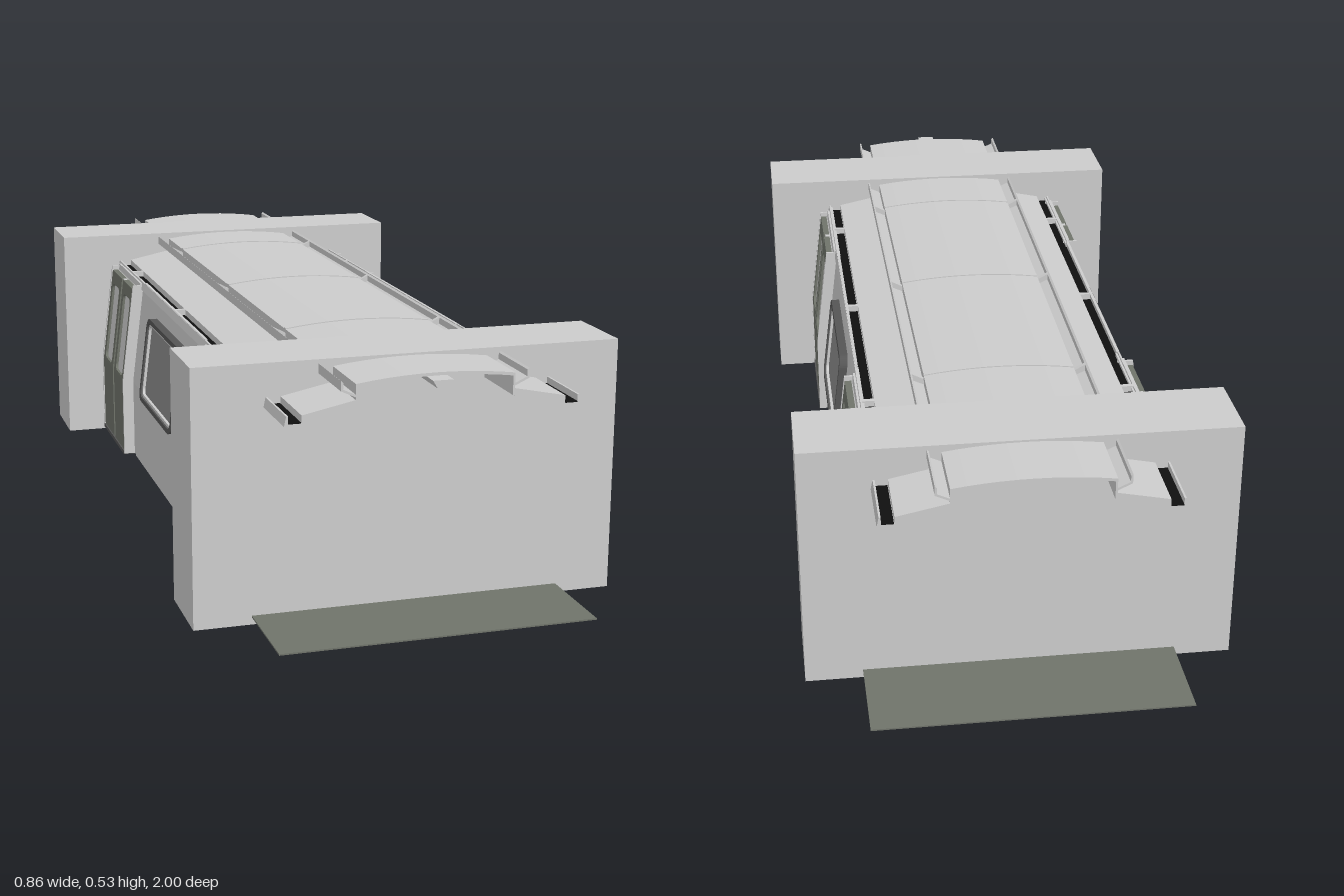
import * as THREE from 'three';

const mat = (color) => new THREE.MeshStandardMaterial({ color, side: THREE.DoubleSide });
const grey = mat(0xcccccc), dark = mat(0x6f736a), black = mat(0x101010);
const glass = mat(0x8a8a8a), rubber = mat(0x555555), yellow = mat(0xc9a41c);

const add = (parent, name, geo, m = grey) => {
  const mesh = new THREE.Mesh(geo, m);
  mesh.name = name;
  parent.add(mesh);
  return mesh;
};
const box = (parent, name, [x0, x1], [y0, y1], [z0, z1], m) => {
  const mesh = add(parent, name, new THREE.BoxGeometry(x1 - x0, y1 - y0, z1 - z0), m);
  mesh.position.set((x0 + x1) / 2, (y0 + y1) / 2, (z0 + z1) / 2);
  return mesh;
};

// Rounded rectangle, usable as outline or hole
function rounded(u0, u1, v0, v1, r = 0) {
  const s = new THREE.Shape();
  if (!r) {
    s.moveTo(u0, v0).lineTo(u1, v0).lineTo(u1, v1).lineTo(u0, v1).closePath();
    return s;
  }
  s.absarc(u1 - r, v0 + r, r, -Math.PI / 2, 0);
  s.absarc(u1 - r, v1 - r, r, 0, Math.PI / 2);
  s.absarc(u0 + r, v1 - r, r, Math.PI / 2, Math.PI);
  s.absarc(u0 + r, v0 + r, r, Math.PI, Math.PI * 1.5);
  s.closePath();
  return s;
}

// Side surface: upright below BREAK, leaning inwards above it
const BREAK = 0.215, TOP = 0.465;
const sideX = (y) => 0.317 - 0.032 * Math.max(0, (y - BREAK) / (TOP - BREAK));

// Flat shape in (-z, y), thickened and laid against the leaning side
function sidePart(parent, name, shape, offset, depth, m, hole) {
  if (hole) shape.holes.push(hole);
  const g = new THREE.ExtrudeGeometry(shape, { depth, bevelEnabled: false, curveSegments: 5 });
  g.rotateY(Math.PI / 2);
  const p = g.attributes.position;
  for (let i = 0; i < p.count; i++) p.setX(i, p.getX(i) + sideX(p.getY(i)) + offset);
  g.computeVertexNormals();
  return add(parent, name, g, m);
}

// Cross-section in (x, y) run along z
function runAlong(parent, name, pts, z0, z1, m) {
  const shape = new THREE.Shape(pts.map(([x, y]) => new THREE.Vector2(x, y)));
  const g = new THREE.ExtrudeGeometry(shape, { depth: z1 - z0, bevelEnabled: false });
  g.translate(0, 0, z0);
  return add(parent, name, g, m);
}

function doorPair(parent, zc) {
  const door = new THREE.Group();
  door.name = 'doubleDoor';
  for (const s of [-1, 1]) {
    const c = s * 0.07 - zc, u0 = c - 0.0625, u1 = c + 0.0625;
    const w = [c - 0.042, c + 0.042, 0.222, 0.415];
    sidePart(door, 'doorLeafLower', rounded(u0, u1, 0.035, BREAK), 0.008, 0.014, dark);
    sidePart(door, 'doorLeafUpper', rounded(u0, u1, BREAK, 0.445), 0.008, 0.014, dark, rounded(...w, 0.015));
    sidePart(door, 'doorWindow', rounded(...w, 0.015), 0.012, 0.004, grey);
    // jamb beside each leaf
    const j0 = s > 0 ? u1 : u0 - 0.006;
    for (const [a, b] of [[0.03, BREAK], [BREAK, 0.455]])
      sidePart(door, 'doorJamb', rounded(j0, j0 + 0.006, a, b), -0.01, 0.034, grey);
  }
  for (const [a, b] of [[0.035, BREAK], [BREAK, 0.445]])
    sidePart(door, 'doorCentreStrip', rounded(-zc - 0.0075, -zc + 0.0075, a, b), 0.006, 0.012, grey);
  box(door, 'doorSill', [0.305, 0.342], [0.027, 0.036], [zc - 0.133, zc + 0.133], rubber);
  parent.add(door);
}

function buildSide(panelBottom) {
  const side = new THREE.Group();
  side.name = 'sideWall';
  // central panel with the large window
  const win = [-0.172, 0.172, 0.215, 0.412];
  sidePart(side, 'panelLower', rounded(-0.315, 0.315, panelBottom, BREAK), -0.006, 0.006, grey);
  sidePart(side, 'panelUpper', rounded(-0.315, 0.315, BREAK, TOP), -0.006, 0.006, grey,
    rounded(-0.155, 0.155, 0.23, 0.4, 0.02));
  sidePart(side, 'windowFrame', rounded(...win, 0.025), -0.006, 0.024, rubber,
    rounded(-0.16, 0.16, 0.225, 0.402, 0.018));
  sidePart(side, 'windowInnerFrame', rounded(-0.161, 0.161, 0.224, 0.403, 0.018), -0.004, 0.018, grey,
    rounded(-0.154, 0.154, 0.231, 0.396, 0.014));
  sidePart(side, 'windowGlass', rounded(-0.157, 0.157, 0.228, 0.399, 0.016), 0.002, 0.006, glass);
  // narrow wall strips around the doorways, mirrored front to back
  for (const s of [-1, 1]) {
    for (const [n, f] of [[0.312, 0.344], [0.608, 0.66]]) {
      const [u0, u1] = s > 0 ? [n, f] : [-f, -n];
      sidePart(side, 'wallStripLower', rounded(u0, u1, 0.03, BREAK), -0.008, 0.006, grey);
      sidePart(side, 'wallStripUpper', rounded(u0, u1, BREAK, 0.46), -0.008, 0.006, grey);
    }
    const [h0, h1] = s > 0 ? [0.34, 0.612] : [-0.612, -0.34];
    sidePart(side, 'doorHeader', rounded(h0, h1, 0.445, 0.46), -0.008, 0.014, grey);
    doorPair(side, s * 0.477);
  }
  return side;
}

function buildRoof() {
  const roof = new THREE.Group();
  roof.name = 'roof';
  const L = 0.945;
  // shallow arched centre panel
  const N = 10, arch = (x) => 0.526 - 0.011 * (x / 0.155) ** 2;
  const archBand = (lift, drop) => {
    const top = [], low = [];
    for (let i = 0; i <= N; i++) {
      const x = -0.155 + (0.31 * i) / N;
      top.unshift([x, arch(x) + lift]);
      low.push([x, arch(x) - drop]);
    }
    return [...low, ...top];
  };
  runAlong(roof, 'ceilingArch', archBand(0, 0.006), -L, L);
  for (const z of [-0.475, 0, 0.475]) runAlong(roof, 'ceilingRib', archBand(0.002, 0.007), z - 0.006, z + 0.006);
  runAlong(roof, 'centreKeel', [[-0.02, 0.52], [-0.011, 0.505], [0.011, 0.505], [0.02, 0.52]], -0.93, 0.98);

  for (const s of [-1, 1]) {
    const m = (pts) => pts.map(([x, y]) => [s * x, y]);
    runAlong(roof, 'archSide', m([[0.151, 0.515], [0.155, 0.515], [0.155, 0.472], [0.151, 0.472]]), -L, L);
    runAlong(roof, 'upperLedge', m([[0.155, 0.49], [0.183, 0.503], [0.183, 0.522], [0.179, 0.519],
      [0.179, 0.506], [0.155, 0.495]]), -L, L);
    runAlong(roof, 'lowerSlope', m([[0.155, 0.485], [0.257, 0.464], [0.257, 0.445], [0.155, 0.471]]), -L, L);
    runAlong(roof, 'lightChannel', m([[0.257, 0.445], [0.29, 0.445], [0.286, 0.464], [0.282, 0.464],
      [0.282, 0.449], [0.257, 0.449]]), -L, L);
    runAlong(roof, 'lightStrip', m([[0.258, 0.449], [0.282, 0.449], [0.282, 0.451], [0.258, 0.451]]), -L, L, black);
    // brackets tying the ledges and channels together
    for (const z of [-0.475, 0, 0.475]) {
      runAlong(roof, 'ledgeBracket', m([[0.155, 0.491], [0.182, 0.503], [0.182, 0.521], [0.155, 0.507]]), z - 0.005, z + 0.005);
      runAlong(roof, 'channelBracket', m([[0.257, 0.447], [0.285, 0.447], [0.285, 0.464], [0.257, 0.464]]), z - 0.005, z + 0.005);
    }
  }
  return roof;
}

export function createModel() {
  const model = new THREE.Group();
  model.name = 'railCarSection';

  box(model, 'floor', [-0.315, 0.315], [0.03, 0.033], [-1, 1], dark);

  // large blocks wrapped around both ends
  for (const s of [-1, 1]) box(model, 'endBlock', [-0.43, 0.43], [0.015, 0.53], [s * 0.72 - 0.085, s * 0.72 + 0.085]);

  model.add(buildSide(0));
  const right = buildSide(0.03);
  right.rotation.y = Math.PI;
  model.add(right);

  box(model, 'yellowStrip', [0.279, 0.283], [0.452, 0.456], [-0.25, 0.25], yellow);
  model.add(buildRoof());
  return model;
}
